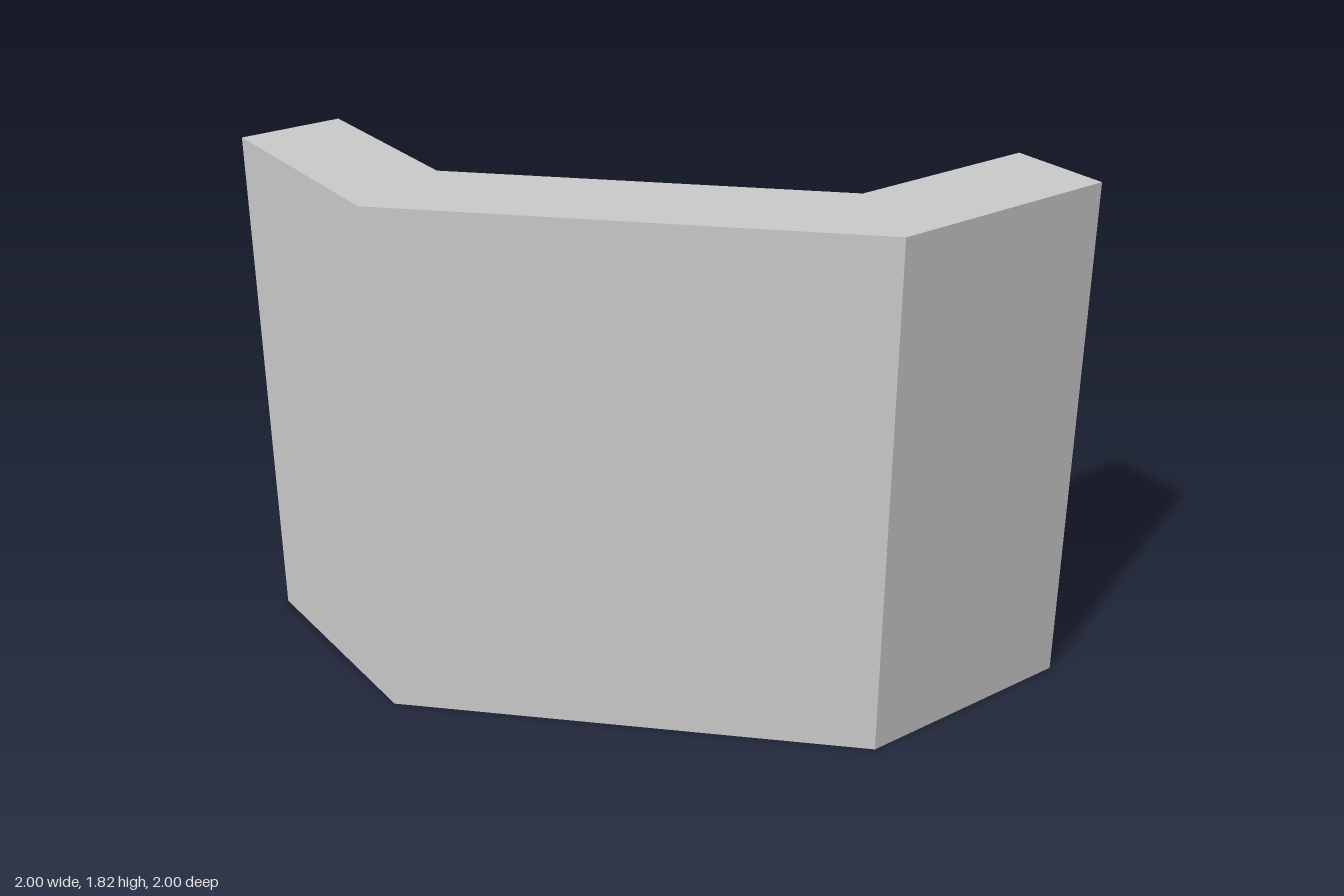
import * as THREE from 'three';

// Wall section as [depth from inner face, height], counter-clockwise
const T = 0.36, H = 1.82;
const section = [
  [0, 0], [T, 0], [T, H], [0, H],
  // upper V groove, stepped flat channel, lower V groove
  [0, 1.25], [0.09, 1.16], [0, 1.07], [0.07, 1.0], [0.09, 1.0],
  [0.09, 0.82], [0.07, 0.82], [0, 0.75], [0.09, 0.66], [0, 0.57],
].map(([d, y]) => new THREE.Vector2(d, y));

// Inner-face path stations: x, z and the mitred outward direction
const M = Math.tan(Math.PI / 8);
const stations = [
  { x: -0.64, z: -1, mx: -1, mz: 0 },
  { x: -0.64, z: -0.32, mx: -1, mz: M },
  { x: 0.32, z: 0.64, mx: -M, mz: 1 },
  { x: 1, z: 0.64, mx: 0, mz: 1 },
];

// Sweeps the section through the mitred stations and closes both ends
function sweep() {
  const positions = [];
  const rings = stations.map((s) =>
    section.map((p) => [s.x + s.mx * p.x, p.y, s.z + s.mz * p.x]));
  const tri = (a, b, c) => positions.push(...a, ...b, ...c);

  for (let s = 0; s < rings.length - 1; s++) {
    const r = rings[s], n = rings[s + 1];
    for (let i = 0; i < section.length; i++) {
      const j = (i + 1) % section.length;
      tri(r[j], r[i], n[i]);
      tri(r[j], n[i], n[j]);
    }
  }

  const first = rings[0], last = rings[rings.length - 1];
  for (const [a, b, c] of THREE.ShapeUtils.triangulateShape(section, [])) {
    tri(first[a], first[b], first[c]);
    tri(last[c], last[b], last[a]);
  }

  const geometry = new THREE.BufferGeometry();
  geometry.setAttribute('position', new THREE.Float32BufferAttribute(positions, 3));
  geometry.computeVertexNormals();
  return geometry;
}

export function createModel() {
  const group = new THREE.Group();
  group.name = 'cornerWall';
  const material = new THREE.MeshStandardMaterial({ color: 0xcccccc, flatShading: true });
  const wall = new THREE.Mesh(sweep(), material);
  wall.name = 'groovedWall';
  group.add(wall);
  return group;
}
